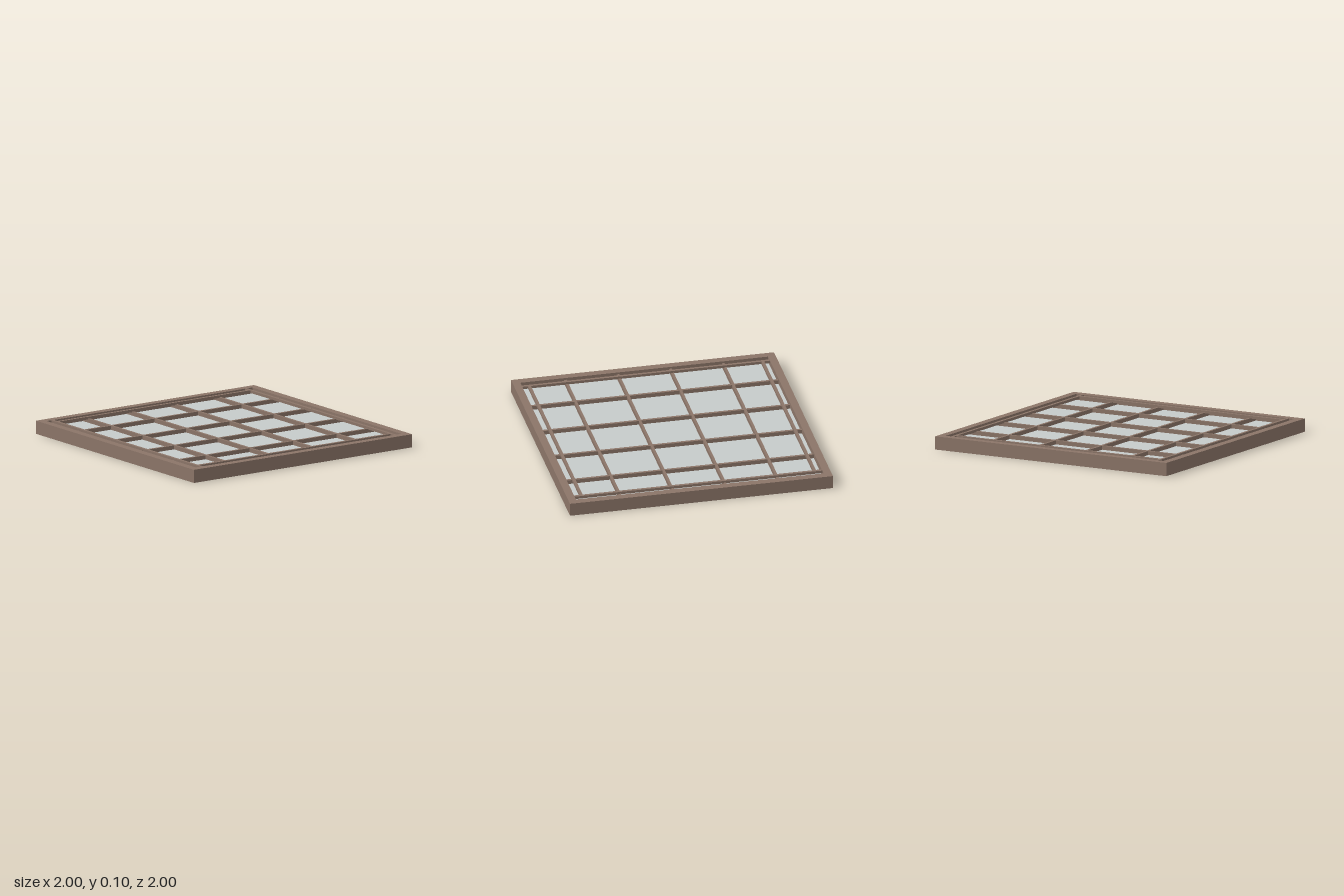
import * as THREE from 'three';

export function createModel() {
  const wood = new THREE.MeshStandardMaterial({ color: 0x8b7568 });
  wood.name = 'brown wood';
  const glass = new THREE.MeshStandardMaterial({ color: 0xc6cbca });
  glass.name = 'pale glass';

  const model = new THREE.Group();
  model.name = 'windowPanel';

  // Box given by its size, centre and bottom height
  const addBox = (name, material, w, h, d, x, bottom, z) => {
    const mesh = new THREE.Mesh(new THREE.BoxGeometry(w, h, d), material);
    mesh.name = name;
    mesh.position.set(x, bottom + h / 2, z);
    model.add(mesh);
  };

  // Outer frame: a square with a square opening
  const outer = 1, inner = 0.942, height = 0.1;
  const square = (path, r) => path.moveTo(-r, -r).lineTo(r, -r).lineTo(r, r).lineTo(-r, r).closePath();
  const shape = new THREE.Shape();
  square(shape, outer);
  const opening = new THREE.Path();
  square(opening, inner);
  shape.holes.push(opening);
  const frameGeometry = new THREE.ExtrudeGeometry(shape, { depth: height, bevelEnabled: false });
  frameGeometry.rotateX(-Math.PI / 2);
  const frame = new THREE.Mesh(frameGeometry, wood);
  frame.name = 'frame';
  model.add(frame);

  // Thin pane at mid depth
  addBox('glassPane', glass, inner * 2, 0.01, inner * 2, 0, 0.045, 0);

  // Glazing bars in both directions
  for (const p of [-0.6, -0.2, 0.2, 0.6]) {
    addBox('crossBar', wood, inner * 2, 0.07, 0.02, 0, 0.015, p);
    addBox('uprightBar', wood, 0.02, 0.07, inner * 2, p, 0.015, 0);
  }

  // Slim beads just inside the frame, flush with its top
  for (const s of [-1, 1]) {
    addBox('longBead', wood, inner * 2, 0.02, 0.022, 0, 0.08, s * 0.887);
    addBox('shortBead', wood, 0.022, 0.02, 1.752, s * 0.887, 0.08, 0);
  }

  return model;
}
